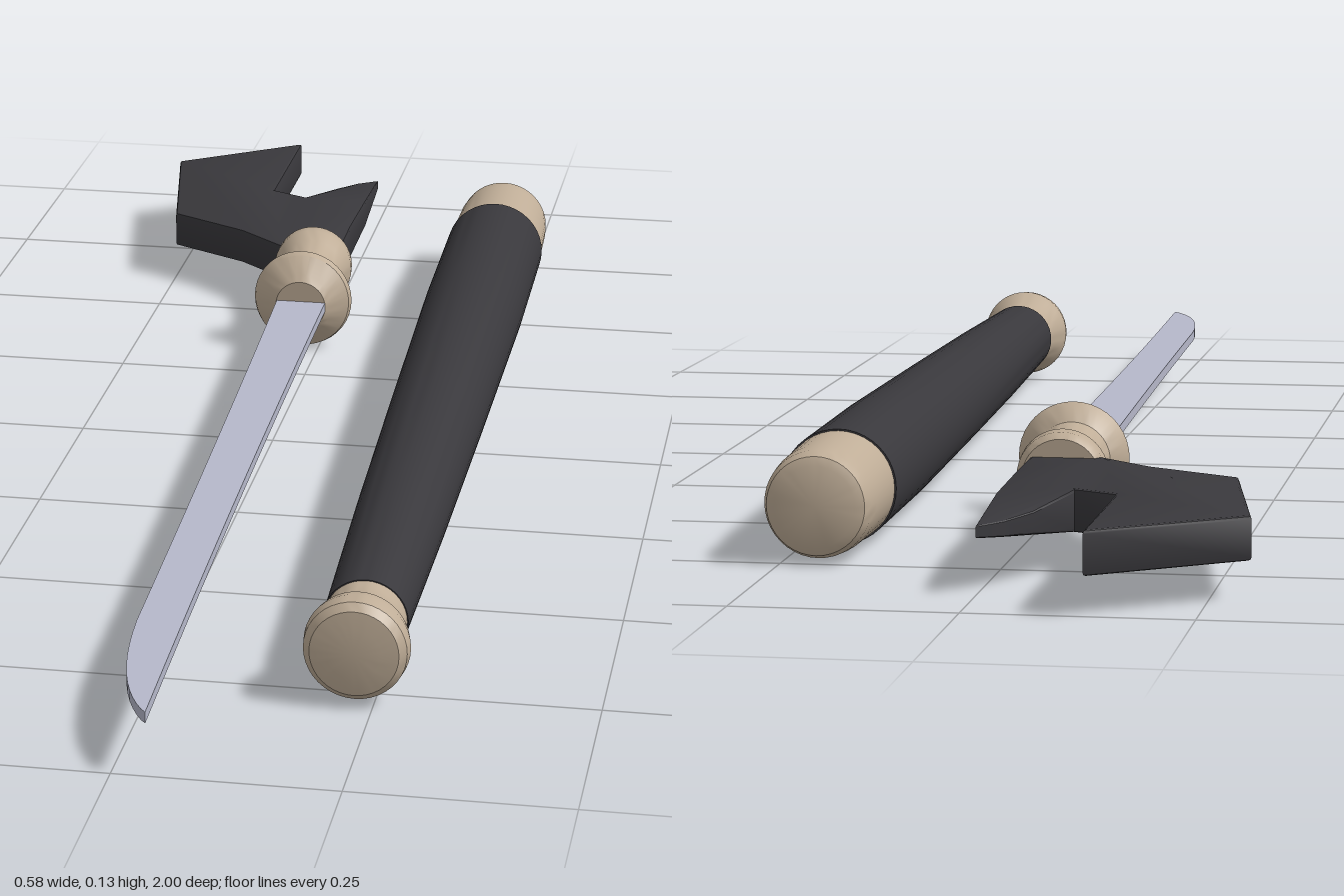
import * as THREE from 'three';
import { toCreasedNormals } from 'three/addons/utils/BufferGeometryUtils.js';

const MID = 0.069; // height of both long axes

const material = (name, color) => {
  const m = new THREE.MeshStandardMaterial({ color });
  m.name = name;
  return m;
};

// Solid of revolution lying along z; profile is [radius, z], the axis leans in x
function turned(name, profile, mat, axis) {
  const geo = new THREE.LatheGeometry(profile.map(([r, z]) => new THREE.Vector2(r, z)), 40);
  geo.rotateX(Math.PI / 2);
  const p = geo.attributes.position;
  for (let i = 0; i < p.count; i++) p.setXY(i, p.getX(i) + axis(p.getZ(i)), p.getY(i) + MID);
  const mesh = new THREE.Mesh(toCreasedNormals(geo, 0.6), mat);
  mesh.name = name;
  return mesh;
}

// Flat outline in x/z extruded around the mid height
function slab(shape, thickness, bevel) {
  const geo = new THREE.ExtrudeGeometry(shape, {
    depth: thickness - 2 * bevel, bevelEnabled: bevel > 0, bevelThickness: bevel,
    bevelSize: bevel, bevelOffset: -bevel, bevelSegments: 2, curveSegments: 10,
  });
  geo.translate(0, 0, -(thickness - 2 * bevel) / 2);
  geo.rotateX(Math.PI / 2);
  return geo;
}

export function createModel() {
  const steel = material('steel', 0xb6b8ca);
  const horn = material('pale horn', 0xbfad97);
  const wood = material('dark wood', 0x39383c);

  // Sword
  const sword = new THREE.Group();
  sword.name = 'sword';
  const edge = new THREE.Shape();
  edge.moveTo(-0.054, -0.36);
  edge.lineTo(0.013, -0.36);
  edge.quadraticCurveTo(0.018, 0.3, 0.038, 0.997);
  edge.lineTo(0.032, 0.99);
  edge.bezierCurveTo(0.006, 0.95, -0.014, 0.88, -0.02, 0.76);
  edge.quadraticCurveTo(-0.034, 0.2, -0.054, -0.36);
  const blade = new THREE.Mesh(toCreasedNormals(slab(edge, 0.013, 0), 0.6), steel);
  blade.name = 'blade';
  blade.position.y = MID;
  sword.add(blade);

  // Waisted grip with a flared guard at the front and a collar at the back
  const handleAxis = z => -0.022 + (z + 0.36) * 0.06;
  sword.add(turned('gripAndGuard', [
    [0, -0.53], [0.046, -0.53], [0.053, -0.52], [0.054, -0.5], [0.047, -0.478], [0.041, -0.455],
    [0.041, -0.42], [0.046, -0.395], [0.064, -0.378], [0.067, -0.37], [0.064, -0.36],
    [0.042, -0.342], [0.034, -0.335], [0, -0.335],
  ], horn, handleAxis));

  // Forked pommel, its slim prong thinning to a point
  const fork = new THREE.Shape([
    [-0.078, -0.515], [-0.145, -0.575], [-0.252, -0.635], [-0.295, -0.885], [-0.131, -1.0],
    [-0.131, -0.768], [-0.082, -0.743], [-0.05, -0.825], [-0.025, -0.867], [0.002, -0.892],
    [0.005, -0.75], [0.004, -0.62], [0.005, -0.515],
  ].map(([x, z]) => new THREE.Vector2(x, z)));
  const forkGeo = slab(fork, 0.049, 0.004);
  const p = forkGeo.attributes.position;
  for (let i = 0; i < p.count; i++) {
    const z = p.getZ(i);
    if (p.getX(i) > -0.07 && z < -0.7) {
      p.setY(i, p.getY(i) * THREE.MathUtils.mapLinear(z, -0.7, -0.9, 1, 0.25));
    }
  }
  const pommel = new THREE.Mesh(toCreasedNormals(forkGeo, 0.5), wood);
  pommel.name = 'forkedPommel';
  pommel.position.y = MID;
  sword.add(pommel);

  // Scabbard
  const scabbard = new THREE.Group();
  scabbard.name = 'scabbard';
  const axis = z => 0.2095 + (z + 0.62) * 0.0145;
  scabbard.add(turned('scabbardBody', [
    [0, -0.625], [0.067, -0.625], [0.067, -0.36], [0.061, 0.05], [0.055, 0.4], [0.048, 0.7], [0, 0.7],
  ], wood, axis));
  scabbard.add(turned('scabbardMouth', [
    [0, -0.763], [0.046, -0.762], [0.056, -0.757], [0.061, -0.744], [0.063, -0.72], [0.065, -0.622], [0, -0.622],
  ], horn, axis));
  scabbard.add(turned('scabbardTip', [
    [0, 0.695], [0.047, 0.695], [0.046, 0.715], [0.049, 0.738], [0.057, 0.755], [0.06, 0.77],
    [0.058, 0.787], [0.05, 0.796], [0.03, 0.799], [0, 0.8],
  ], horn, axis));

  const model = new THREE.Group();
  model.name = 'swordAndScabbard';
  model.add(sword, scabbard);
  return model;
}
